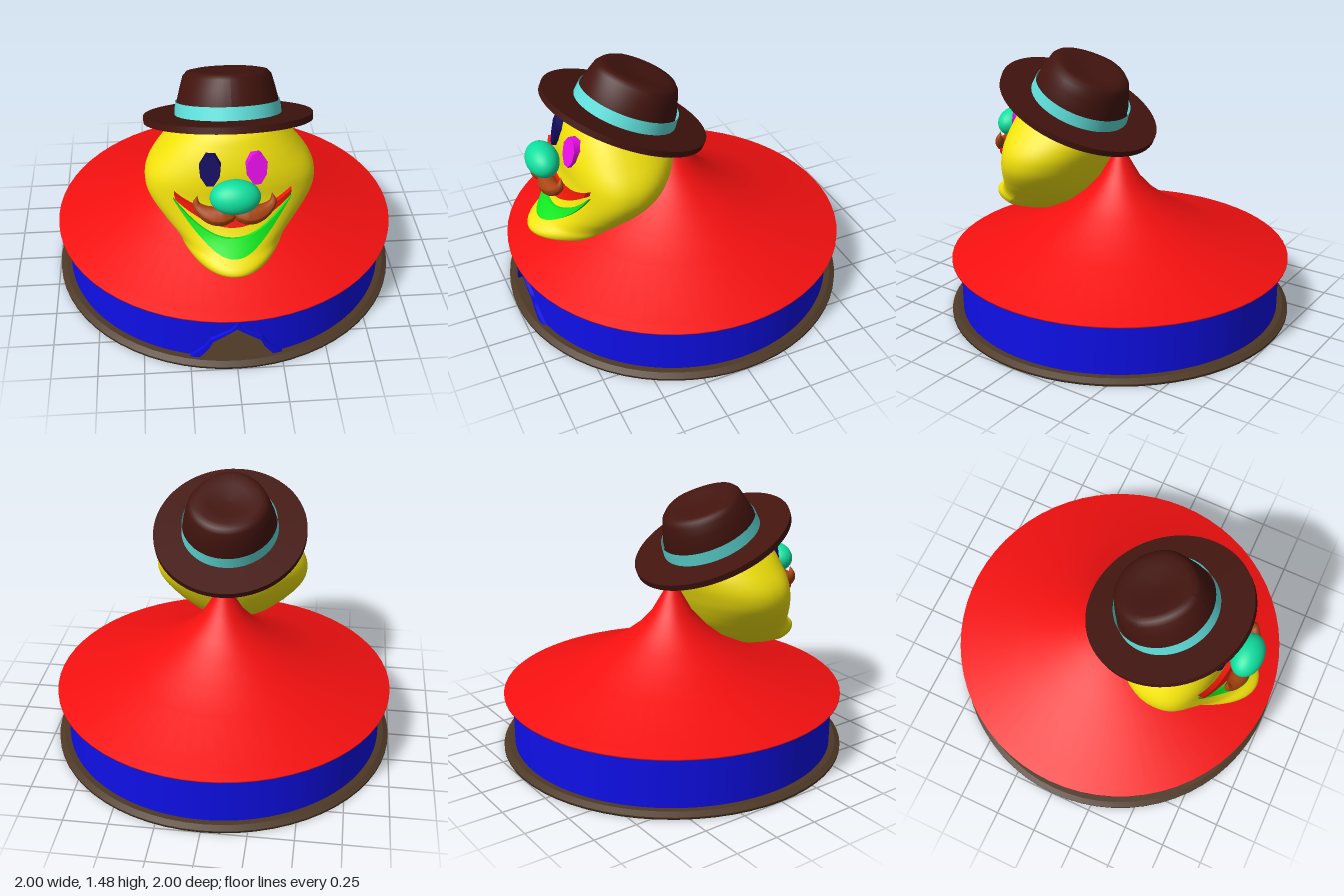
import * as THREE from 'three';
import { mergeVertices } from 'three/addons/utils/BufferGeometryUtils.js';

const V2 = (x, y) => new THREE.Vector2(x, y);
const V3 = (x, y, z) => new THREE.Vector3(x, y, z);

function part(parent, name, geometry, color, side = THREE.FrontSide) {
  const mesh = new THREE.Mesh(geometry, new THREE.MeshStandardMaterial({ color, side }));
  mesh.name = name;
  parent.add(mesh);
  return mesh;
}

const lathe = (pts, seg = 64) => new THREE.LatheGeometry(pts.map(p => V2(...p)), seg);

// Move every vertex by a rule
function warp(geometry, rule) {
  const pos = geometry.attributes.position, v = V3(0, 0, 0);
  for (let i = 0; i < pos.count; i++) {
    rule(v.fromBufferAttribute(pos, i), i);
    pos.setXYZ(i, v.x, v.y, v.z);
  }
  geometry.computeVertexNormals();
  return geometry;
}

// Band between two outlines lower(u) and upper(u), wrapped onto a surface z(x, y)
function wrappedBand(lower, upper, surface, depth, columns = 40) {
  return warp(new THREE.BoxGeometry(1, 1, 1, columns, 4, 1), v => {
    const p = lower(v.x + 0.5).lerp(upper(v.x + 0.5), v.y + 0.5);
    v.set(p.x, p.y, surface(p.x, p.y) + (v.z > 0 ? depth : -0.03));
  });
}

// Head rings from chin to crown: height, half width, back z, front z, front roundness
const rings = [
  [0.505, 0, 0.55, 0.55, 1], [0.525, 0.19, 0.4, 0.84, 1.5], [0.57, 0.25, 0.31, 0.88, 1.6],
  [0.62, 0.29, 0.23, 0.81, 1.3], [0.7, 0.36, 0.165, 0.74, 1], [0.8, 0.43, 0.11, 0.69, 0.85],
  [0.88, 0.455, 0.075, 0.67, 0.8], [0.96, 0.44, 0.045, 0.665, 0.8], [1.05, 0.375, 0.03, 0.65, 0.8],
  [1.15, 0.285, 0.08, 0.61, 0.8], [1.23, 0.19, 0.18, 0.55, 0.9], [1.28, 0, 0.36, 0.36, 1],
];
const ringCurve = new THREE.CubicInterpolant(rings.map((_, i) => i), rings.flatMap(r => r.slice(1)), 4);

function headRing(s) {
  const i = Math.min(Math.floor(s), rings.length - 2);
  const [w, back, front, power] = ringCurve.evaluate(s);
  const y = THREE.MathUtils.lerp(rings[i][0], rings[i + 1][0], s - i);
  return { y, w: Math.max(w, 0), back, front, power, mid: back + 0.55 * (front - back) };
}

const ringZ = (r, c) => r.mid + (c > 0 ? (r.front - r.mid) * c ** r.power : (r.mid - r.back) * c);

// Depth of the face at a point
function faceZ(x, y) {
  let i = rings.findIndex(r => r[0] > y) - 1;
  const r = headRing(i + (y - rings[i][0]) / (rings[i + 1][0] - rings[i][0]));
  return ringZ(r, Math.sqrt(Math.max(0, 1 - (x / r.w) ** 2)));
}

function headGeometry() {
  const g = new THREE.SphereGeometry(1, 56, 44), uv = g.attributes.uv.clone();
  warp(g, (v, i) => {
    const r = headRing(uv.getY(i) * (rings.length - 1));
    const t = (uv.getX(i) * 2 - 1) * Math.PI;
    v.set(r.w * Math.sin(t), r.y, ringZ(r, Math.cos(t)));
  });
  g.deleteAttribute('uv');
  g.deleteAttribute('normal');
  const merged = mergeVertices(g, 1e-4);
  merged.computeVertexNormals();
  return merged;
}

// Tube whose thickness follows a list of radii
function taperedTube(points, radii, steps = 28, sides = 12) {
  const path = new THREE.CatmullRomCurve3(points);
  return warp(new THREE.TubeGeometry(path, steps, 1, sides), (v, i) => {
    const t = Math.floor(i / (sides + 1)) / steps, c = path.getPointAt(t);
    const k = t * (radii.length - 1), n = Math.min(Math.floor(k), radii.length - 2);
    const radius = THREE.MathUtils.lerp(radii[n], radii[n + 1], k - n);
    v.sub(c).multiplyScalar(radius).add(c);
  });
}

function addTent(model) {
  const tent = new THREE.Group();
  tent.name = 'tent';
  model.add(tent);
  part(tent, 'basePlate', lathe([[0, 0], [1, 0], [1, 0.012], [1, 0.012], [0.97, 0.03], [0.97, 0.03], [0, 0.03]]), 0x4d3826);

  // Door outline, apex to floor, for the opening and the outside of its rim
  const inner = [[0, 0.245], [0.13, 0.15], [0.15, 0.1], [0.2, 0.03]];
  const outer = [[0, 0.275], [0.03, 0.235], [0.14, 0.17], [0.165, 0.12], [0.25, 0.03]];
  const along = pts => {
    const path = new THREE.CurvePath();
    for (let i = 1; i < pts.length; i++) path.add(new THREE.LineCurve(V2(...pts[i - 1]), V2(...pts[i])));
    return u => {
      const p = path.getPointAt(Math.abs(u * 2 - 1)).clone();
      p.x *= Math.sign(u - 0.5);
      return p;
    };
  };
  const doorY = x => {
    for (let i = 1; i < inner.length; i++) {
      const [a, b] = [inner[i - 1], inner[i]];
      if (x <= b[0]) return THREE.MathUtils.mapLinear(x, a[0], b[0], a[1], b[1]);
    }
    return 0.03;
  };

  // Wall, its lower edge lifted at the door
  const wall = new THREE.CylinderGeometry(0.935, 0.935, 0.3, 256, 1, true).translate(0, 0.18, 0);
  part(tent, 'wall', warp(wall, v => {
    if (v.y < 0.1 && v.z > 0) v.y = doorY(Math.abs(v.x));
  }), 0x0f0fe8, THREE.DoubleSide);
  part(tent, 'doorRim', wrappedBand(along(inner), along(outer), x => Math.sqrt(0.935 ** 2 - x * x), 0.018), 0x0f0fe8);

  part(tent, 'roof', lathe([[0.93, 0.325], [0.985, 0.327], [0.985, 0.335], [0.93, 0.345], [0.6, 0.46],
    [0.45, 0.535], [0.31, 0.61], [0.2, 0.695], [0.12, 0.78], [0.06, 0.885], [0, 1]]), 0xf51010, THREE.DoubleSide);
}

function addHead(model) {
  const head = new THREE.Group();
  head.name = 'head';
  model.add(head);
  part(head, 'face', headGeometry(), 0xf2e20c);

  // Lips, following the face
  const lip = (halfWidth, edge) => u => V2(halfWidth * (u * 2 - 1), edge(Math.abs(u * 2 - 1)));
  part(head, 'upperLip', wrappedBand(lip(0.3, a => 0.76 + 0.13 * a ** 2), lip(0.305, a => 0.83 + 0.09 * a ** 2.5), faceZ, 0.03), 0xf01808);
  part(head, 'lowerLip', wrappedBand(lip(0.305, a => 0.62 + 0.25 * a ** 2.1), lip(0.31, a => 0.7 + 0.18 * a ** 2.2), faceZ, 0.015), 0x10e820);

  part(head, 'nose', new THREE.SphereGeometry(1, 32, 20).scale(0.13, 0.09, 0.09).translate(0, 0.985, 0.77), 0x10e0a0);

  for (const [side, label, color] of [[1, 'left', 0xf010f0], [-1, 'right', 0x140a60]]) {
    // Eight-sided eye, narrower at the bottom
    const eye = warp(new THREE.CylinderGeometry(1, 1, 0.05, 8).rotateX(Math.PI / 2).rotateZ(Math.PI / 8), v => {
      v.x *= 0.056 + 0.008 * v.y;
      v.y *= 0.09;
    });
    const mesh = part(head, label + 'Eye', eye, color);
    mesh.position.set(side * 0.117, 1.065, faceZ(0.117, 1.065) + 0.002);
    mesh.rotation.set(-0.22, side * 0.2, 0);

    // Moustache half with an upturned tip
    const points = [[-0.02, 0.89, 0.76], [0.04, 0.875, 0.77], [0.1, 0.87, 0.77], [0.16, 0.89, 0.755], [0.195, 0.925, 0.74], [0.19, 0.975, 0.73]];
    part(head, label + 'Moustache', taperedTube(points.map(([x, y, z]) => V3(side * x, y, z)),
      [0, 0.04, 0.052, 0.05, 0.042, 0.03, 0.018, 0]), 0xa8440f);
  }
}

function addHat(model) {
  const hat = new THREE.Group();
  hat.name = 'hat';
  hat.position.set(0, 1.165, 0.288);
  hat.rotation.x = -0.41;
  model.add(hat);
  const felt = 0x42140e;
  part(hat, 'brim', new THREE.CylinderGeometry(0.45, 0.45, 0.035, 64).scale(1, 1, 1.08), felt);
  part(hat, 'band', new THREE.CylinderGeometry(0.278, 0.285, 0.075, 64, 1, true).translate(0, 0.05, 0).scale(1, 1, 1.05), 0x5fe0dc, THREE.DoubleSide);

  // Crown with a dished top, pinched towards the front
  const crown = lathe([[0.275, 0], [0.27, 0.09], [0.25, 0.17], [0.235, 0.22], [0.215, 0.243], [0.18, 0.25], [0.12, 0.242], [0.06, 0.235], [0, 0.232]]);
  part(hat, 'crown', warp(crown, v => {
    const k = v.y / 0.25;
    v.x *= 1 - 0.22 * k * k * Math.max(0, v.z / 0.25);
    v.z = v.z * 1.04 + 0.015 * k;
  }), felt);
}

export function createModel() {
  const model = new THREE.Group();
  model.name = 'clownTent';
  addTent(model);
  addHead(model);
  addHat(model);
  return model;
}
